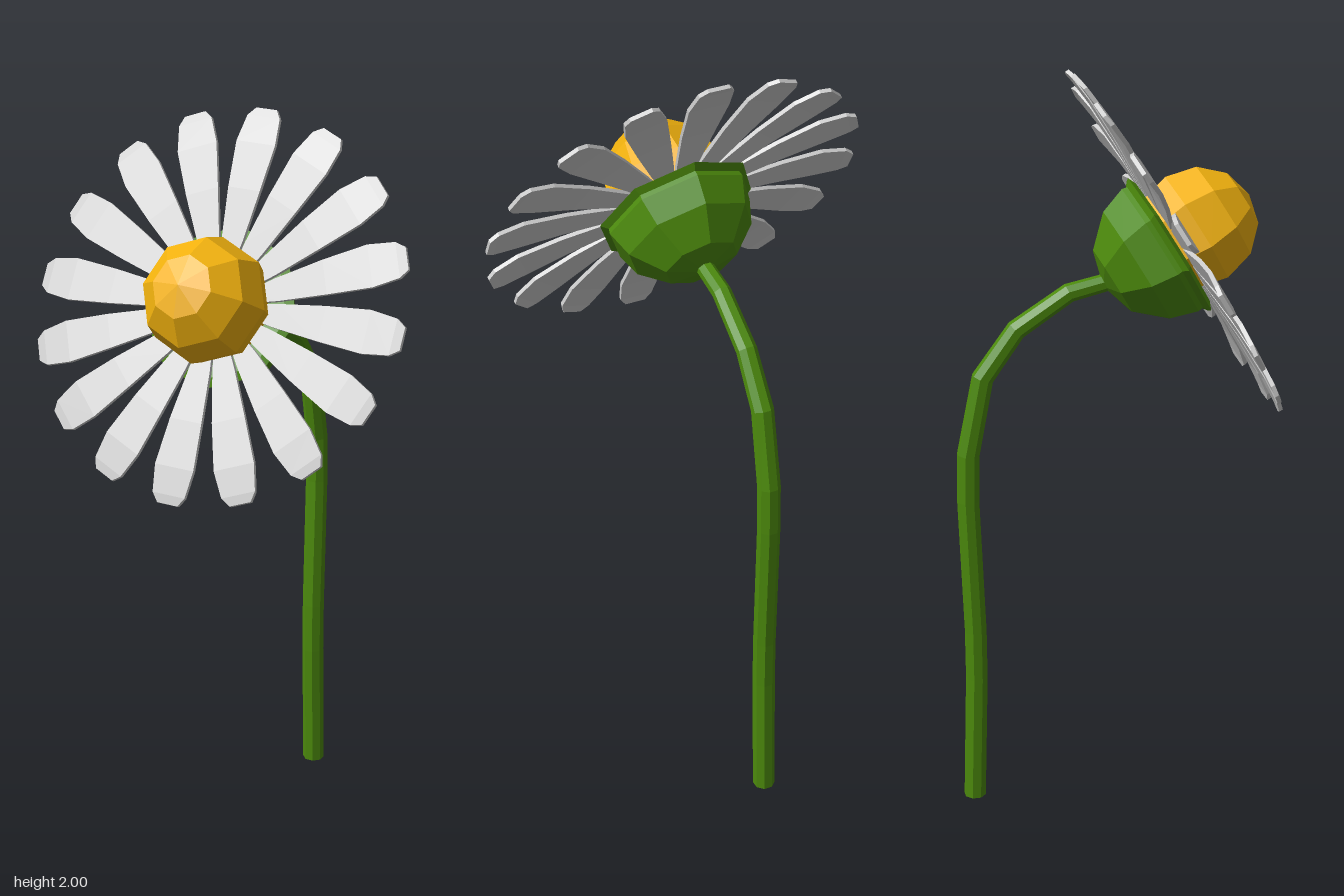
import * as THREE from 'three';

const material = (color) => new THREE.MeshStandardMaterial({ color, flatShading: true });

function part(name, geometry, mat) {
  const mesh = new THREE.Mesh(geometry, mat);
  mesh.name = name;
  return mesh;
}

// Move every vertex of a geometry by a rule
function reshape(geometry, rule) {
  const pos = geometry.attributes.position;
  const v = new THREE.Vector3();
  for (let i = 0; i < pos.count; i++) {
    rule(v.fromBufferAttribute(pos, i));
    pos.setXYZ(i, v.x, v.y, v.z);
  }
  geometry.computeVertexNormals();
  return geometry;
}

// Octagonal stem swept along a bent path of [z, y, radius]
function stemGeometry() {
  const path = [
    [-0.39, 0, 0.03], [-0.378, 0.36, 0.03], [-0.378, 0.5, 0.03], [-0.39, 0.88, 0.03],
    [-0.387, 1.01, 0.03], [-0.345, 1.22, 0.029], [-0.255, 1.345, 0.027],
    [-0.116, 1.435, 0.025], [0, 1.46, 0.023], [0.06, 1.485, 0.023],
  ];
  const last = path.length - 1;
  const g = new THREE.CylinderGeometry(1, 1, 1, 8, last, false, Math.PI / 8);
  return reshape(g, (v) => {
    const i = Math.round((v.y + 0.5) * last);
    const [z, y, r] = path[i];
    const a = path[Math.max(i - 1, 0)], b = path[Math.min(i + 1, last)];
    // level cut at the ground, otherwise square to the path
    const angle = i === 0 ? 0 : Math.atan2(b[0] - a[0], b[1] - a[1]);
    v.set(v.x * r, y - v.z * r * Math.sin(angle), z + v.z * r * Math.cos(angle));
  });
}

// One petal along +y, with rings of [distance, half width, lift]
function petalGeometry() {
  const rings = [
    [0.08, 0.015, 0], [0.17, 0.03, 0.003], [0.3, 0.045, 0.008],
    [0.42, 0.055, 0.007], [0.49, 0.046, 0], [0.513, 0.029, -0.005],
  ];
  const last = rings.length - 1;
  const g = new THREE.BoxGeometry(1, 1, 0.011, 1, last, 1);
  return reshape(g, (v) => {
    const [d, w, lift] = rings[Math.round((v.y + 0.5) * last)];
    v.set(v.x * 2 * w, d, v.z + lift);
  });
}

export function createModel() {
  const green = material(0x4c8a0c);
  const yellow = material(0xf2b20e);
  const white = material(0xcccccc);

  const flower = new THREE.Group();
  flower.name = 'flower';
  flower.add(part('stem', stemGeometry(), green));

  // Head, built facing +z and tipped back
  const head = new THREE.Group();
  head.name = 'flowerHead';
  head.position.set(0, 1.555, 0.165);
  head.rotation.x = -Math.PI / 6;
  flower.add(head);

  const centre = part('flowerCentre', new THREE.SphereGeometry(0.163, 8, 6).rotateX(Math.PI / 2), yellow);
  centre.position.z = 0.06;
  head.add(centre);

  // Green cup behind the petals, with a thin flared rim
  const profile = [
    [0, -0.22], [0.1, -0.193], [0.173, -0.12], [0.198, -0.05],
    [0.195, -0.036], [0.214, -0.022], [0.19, -0.012], [0, -0.01],
  ].map(([x, y]) => new THREE.Vector2(x, y));
  head.add(part('cup', new THREE.LatheGeometry(profile, 8).rotateX(Math.PI / 2), green));

  // Ring of petals
  const petals = new THREE.Group();
  petals.name = 'petals';
  const petal = petalGeometry();
  for (let i = 0; i < 16; i++) {
    const p = part('petal', petal, white);
    p.rotation.z = (i / 16) * Math.PI * 2;
    petals.add(p);
  }
  head.add(petals);

  return flower;
}
